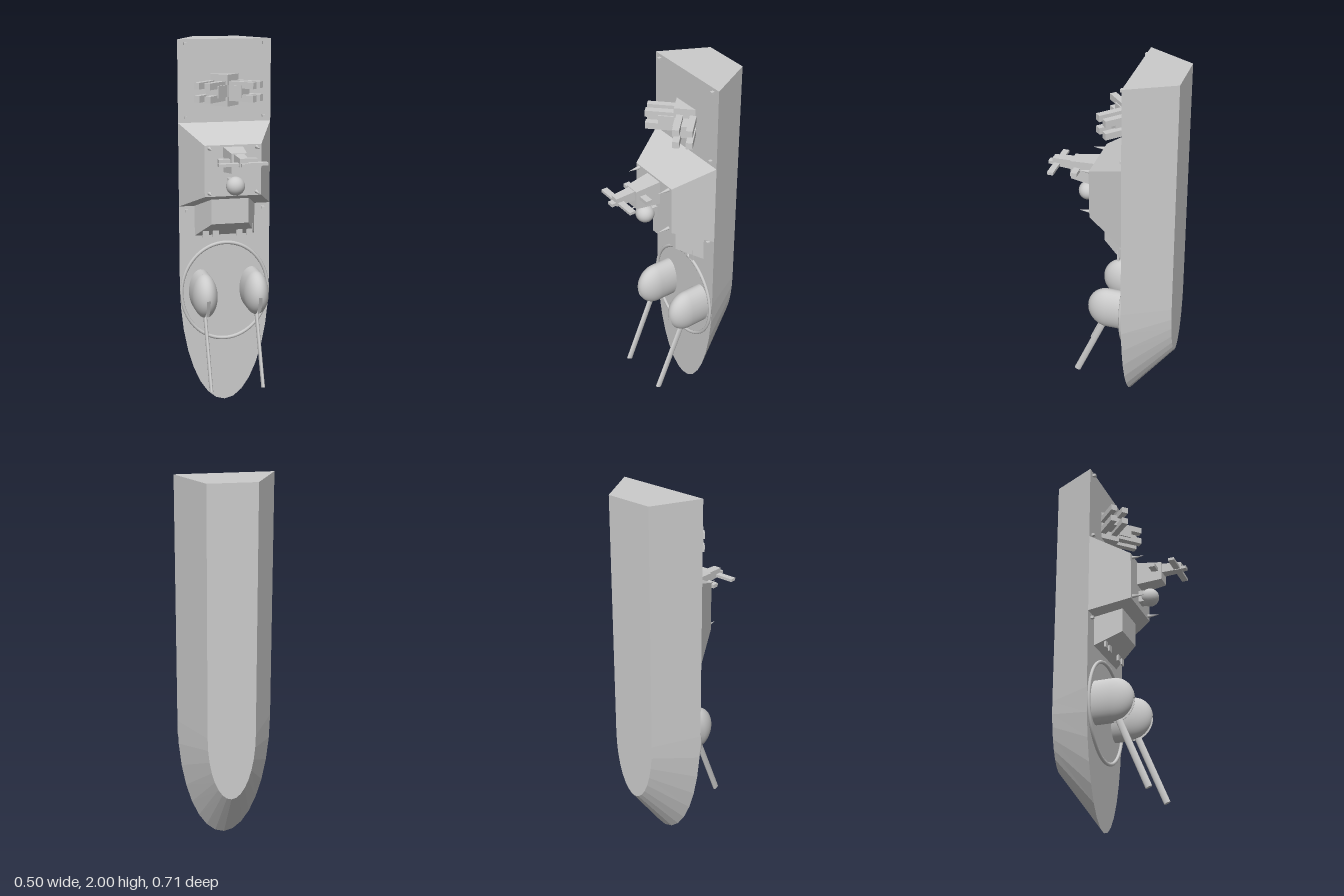
import * as THREE from 'three';

const grey = new THREE.MeshStandardMaterial({ color: 0xcccccc });
const thin = new THREE.MeshStandardMaterial({ color: 0xcccccc, side: THREE.DoubleSide });

// Convex solid between two matching counter-clockwise outlines, back z0 to front z1
function loft(back, z0, front, z1) {
  const pos = [];
  const n = back.length;
  const A = (i) => [...back[i % n], z0];
  const B = (i) => [...front[i % n], z1];
  for (let i = 0; i < n; i++) {
    pos.push(...A(i), ...A(i + 1), ...B(i + 1), ...A(i), ...B(i + 1), ...B(i));
    if (i > 0 && i < n - 1) {
      pos.push(...B(0), ...B(i), ...B(i + 1), ...A(0), ...A(i + 1), ...A(i));
    }
  }
  const g = new THREE.BufferGeometry();
  g.setAttribute('position', new THREE.Float32BufferAttribute(pos, 3));
  g.computeVertexNormals();
  return g;
}

const rect = (w, y0, y1) => [[-w, y0], [w, y0], [w, y1], [-w, y1]];

function hullOutline(w, bowLength) {
  const pts = [];
  for (let i = 0; i <= 16; i++) {
    const a = Math.PI * (1 + i / 16);
    pts.push([w * Math.cos(a), 0.69 + bowLength * Math.sin(a)]);
  }
  return [...pts, [w, 2], [-w, 2]];
}

export function createModel() {
  const model = new THREE.Group();

  function add(name, geometry, x = 0, y = 0, z = 0, parent = model, material = grey) {
    const m = new THREE.Mesh(geometry, material);
    m.name = name;
    m.position.set(x, y, z);
    parent.add(m);
    return m;
  }
  // Box given by its extents
  const box = (name, x0, x1, y0, y1, z0, z1, parent = model) =>
    add(name, new THREE.BoxGeometry(x1 - x0, y1 - y0, z1 - z0),
      (x0 + x1) / 2, (y0 + y1) / 2, (z0 + z1) / 2, parent);

  // Hull and stacked deck houses
  add('hull', loft(hullOutline(0.125, 0.36), -0.355, hullOutline(0.25, 0.69), -0.11));
  add('superstructure', loft(rect(0.25, 1.12, 1.567), -0.11, rect(0.15, 1.207, 1.475), 0.09));
  add('forwardCabin', loft(rect(0.165, 0.955, 1.2), -0.11, rect(0.1, 1.045, 1.2), 0.025));
  for (const x of [-0.115, -0.06, 0.07, 0.125]) {
    box('cabinSlat', x - 0.016, x + 0.016, 0.955, 1.02, -0.066, -0.056);
  }

  // Mast tower with crossbars
  add('bridgeTower', loft(rect(0.052, 1.335, 1.465), 0.09, rect(0.04, 1.35, 1.452), 0.225));
  add('mast', loft(rect(0.03, 1.395, 1.452), 0.16, rect(0.021, 1.4, 1.443), 0.33));
  box('mastTip', -0.017, 0.017, 1.403, 1.42, 0.3, 0.355);
  box('upperCrossbar', -0.125, 0.125, 1.403, 1.418, 0.29, 0.323);
  box('lowerCrossbar', -0.1, 0.1, 1.4, 1.42, 0.172, 0.206);

  // Radar dome on its foot
  box('radarFoot', -0.03, 0.03, 1.24, 1.305, 0.085, 0.12);
  add('radarDome', new THREE.SphereGeometry(0.049, 24, 16), 0, 1.27, 0.146);

  // Antenna spikes and deck posts
  for (const s of [-1, 1]) {
    for (const y of [1.225, 1.46]) {
      add('antennaSpike', new THREE.ConeGeometry(0.01, 0.067, 10).rotateX(Math.PI / 2),
        s * 0.125, y, 0.122);
    }
    for (const y of [1.095, 1.595, 1.978]) {
      box('deckPost', s * 0.21 - 0.008, s * 0.21 + 0.008, y - 0.007, y + 0.007, -0.115, -0.093);
    }
  }

  // Launcher: square pedestal on its corner, two angled racks of rails
  const pedestal = add('launcherPedestal', new THREE.BoxGeometry(0.114, 0.165, 0.114), 0, 1.738, -0.115);
  pedestal.rotation.y = Math.PI / 4;
  for (const s of [-1, 1]) {
    const rack = new THREE.Group();
    rack.name = s > 0 ? 'leftLauncherRack' : 'rightLauncherRack';
    rack.rotation.y = s * Math.PI / 4;
    // In the rack's frame, z runs along the rails and x across them
    const across = (name, a, b, y0, y1, z0, z1) =>
      box(name, Math.min(s * a, s * b), Math.max(s * a, s * b), y0, y1, z0, z1, rack);
    for (const [y0, y1] of [[1.685, 1.72], [1.753, 1.787]]) {
      across('launcherRail', 0.037, 0.071, y0, y1, -0.024, 0.122);
      across('launcherRail', 0.104, 0.137, y0, y1, -0.024, 0.122);
    }
    across('rackBridge', 0.03, 0.11, 1.705, 1.768, -0.024, 0.055);
    model.add(rack);
  }

  // Elliptical gun ring on the foredeck
  const ring = add('gunRing', new THREE.TorusGeometry(0.241, 0.009, 8, 64), 0, 0.638, -0.103);
  ring.scale.y = 1.13;

  // Domed guns: the dome's lower front is slotted for the barrel
  const half = Math.PI / 2;
  const gap = 0.15;
  const domePart = (phi, theta, len) =>
    new THREE.SphereGeometry(1, 16, 24, phi, half, theta, len).rotateZ(-half);
  const tilt = Math.atan2(-0.205, 0.485);
  for (const [side, x] of [['right', -0.133], ['left', 0.15]]) {
    const gun = new THREE.Group();
    gun.name = side + 'Gun';
    gun.position.set(x, 0.645, -0.01);
    model.add(gun);

    const dome = new THREE.Group();
    dome.name = 'dome';
    dome.scale.set(0.067, 0.12, 0.112);
    gun.add(dome);
    add('domeTop', domePart(0, 0, Math.PI), 0, 0, 0, dome);
    add('domeCheek', domePart(half, 0, half - gap), 0, 0, 0, dome);
    add('domeCheek', domePart(half, half + gap, half - gap), 0, 0, 0, dome);
    for (const s of [-1, 1]) {
      add('slotWall', new THREE.CircleGeometry(Math.cos(gap), 16, -half, half).rotateY(-half),
        s * Math.sin(gap), 0, 0, dome, thin);
    }
    add('slotCeiling', new THREE.PlaneGeometry(2 * Math.sin(gap), 0.99).rotateX(half),
      0, 0, 0.495, dome, thin);

    const base = new THREE.CylinderGeometry(1, 1, 0.1, 32).rotateX(half).scale(0.067, 0.12, 1);
    add('gunBase', base, 0, 0, -0.05, gun);

    const barrel = new THREE.CylinderGeometry(0.018, 0.018, 0.527, 16).scale(0.53, 1, 1).rotateX(tilt);
    add('barrel', barrel, side === 'right' ? -0.004 : -0.003, -0.237, 0.083, gun);
  }
  return model;
}
